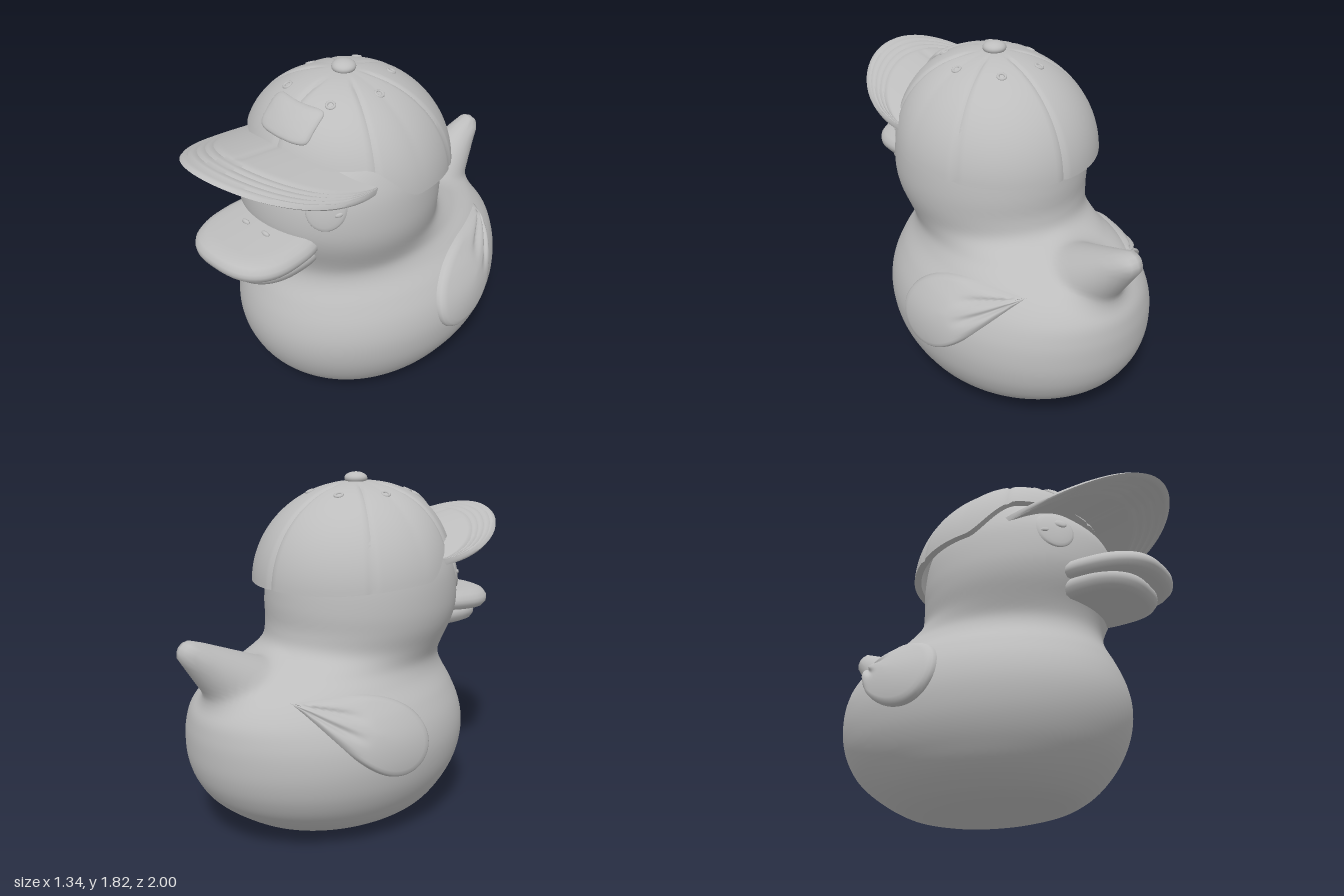
import * as THREE from 'three';
import { mergeVertices, toCreasedNormals } from 'three/addons/utils/BufferGeometryUtils.js';

const clamp = THREE.MathUtils.clamp, smooth = THREE.MathUtils.smoothstep;

// Body and head outline: height, half width, front z, back z
const RINGS = [
  [0, .28, .34, -.42], [.03, .37, .42, -.53], [.1, .48, .515, -.66], [.2, .56, .605, -.79],
  [.3, .61, .66, -.86], [.4, .633, .69, -.895], [.5, .635, .695, -.905], [.6, .612, .675, -.9],
  [.7, .56, .635, -.87], [.8, .485, .585, -.77], [.87, .45, .57, -.6], [.95, .457, .585, -.44],
  [1.05, .487, .625, -.4], [1.15, .5, .65, -.4], [1.3, .49, .64, -.385], [1.4, .46, .6, -.35],
  [1.5, .41, .5, -.28], [1.62, .27, .36, -.15], [1.7, .06, .16, .03],
];

// Smooth interpolation of the outline at a height
function ringAt(y) {
  y = clamp(y, 0, 1.7);
  let i = 0;
  while (i < RINGS.length - 2 && y > RINGS[i + 1][0]) i++;
  const p = RINGS[i], q = RINGS[i + 1];
  const o = RINGS[Math.max(i - 1, 0)], r = RINGS[Math.min(i + 2, RINGS.length - 1)];
  const d = q[0] - p[0], t = (y - p[0]) / d;
  return [1, 2, 3].map((k) => {
    const m0 = (q[k] - o[k]) / (q[0] - o[0]) * d, m1 = (r[k] - p[k]) / (r[0] - p[0]) * d;
    const c = q[k] - p[k];
    return p[k] + t * (m0 + t * (3 * c - 2 * m0 - m1 + t * (m0 + m1 - 2 * c)));
  });
}

// Implicit duck: ringed body blended with a tapered tail, negative inside
function duck(x, y, z) {
  const [w, f, b] = ringAt(y), hz = (f - b) / 2;
  const body = (Math.hypot(x / w, (z - (f + b) / 2) / hz) - 1) * Math.min(w, hz);
  const dy = .34, dz = -.43;
  const t = clamp(((y - .68) * dy + (z + .5) * dz) / (dy * dy + dz * dz), 0, 1);
  const tail = Math.hypot(x, y - .68 - dy * t, z + .5 - dz * t) - (.24 - .17 * t);
  const k = .08, h = Math.max(k - Math.abs(body - tail), 0) / k;
  return Math.max(Math.min(body, tail) - h * h * k / 4, -y, y - 1.7);
}

// Distance from a point along a direction to the duck's surface
function reach(o, d) {
  let lo = 0, hi = 1.6;
  for (let i = 0; i < 26; i++) {
    const m = (lo + hi) / 2;
    if (duck(o[0] + d[0] * m, o[1] + d[1] * m, o[2] + d[2] * m) < 0) lo = m; else hi = m;
  }
  return lo;
}
const skinZ = (x, y) => reach([x, y, 0], [0, 0, 1]);
const skinX = (y, z) => reach([0, y, z], [1, 0, 0]);

// Move every vertex by a rule and rebuild smooth normals
function reshape(geo, rule) {
  const p = geo.attributes.position;
  for (let i = 0; i < p.count; i++) p.setXYZ(i, ...rule(p.getX(i), p.getY(i), p.getZ(i)));
  geo.deleteAttribute('normal');
  geo.deleteAttribute('uv');
  geo = mergeVertices(geo, 1e-5);
  geo.computeVertexNormals();
  return geo;
}

// Disc of unit radius turned from a profile, then reshaped
const disc = (profile, rule) => reshape(
  new THREE.LatheGeometry(profile.map(([r, h]) => new THREE.Vector2(r, h)), 64), rule);
const SLAB = [[0, -1], [.5, -1], [.82, -1], [.93, -.8], [.99, -.35], [1, 0], [.99, .35],
  [.93, .8], [.82, 1], [.65, 1], [.45, 1], [.25, 1], [0, 1]];

// Turn a circle into a rounded rectangle
function squircle(u, v, n) {
  const r = Math.hypot(u, v) || 1;
  const g = (c) => Math.sign(c) * Math.pow(Math.abs(c / r), 2 / n) * r;
  return [g(u), g(v)];
}

// Sheet swept over u and v in 0..1
function sheet(nu, nv, fn) {
  const pos = [], idx = [];
  for (let i = 0; i <= nu; i++) for (let j = 0; j <= nv; j++) pos.push(...fn(i / nu, j / nv));
  for (let i = 0; i < nu; i++) for (let j = 0; j < nv; j++) {
    const a = i * (nv + 1) + j, b = a + nv + 1;
    idx.push(a, a + 1, b, b, a + 1, b + 1);
  }
  const geo = new THREE.BufferGeometry();
  geo.setAttribute('position', new THREE.Float32BufferAttribute(pos, 3));
  geo.setIndex(idx);
  return toCreasedNormals(geo, .7);
}

// Cap dome: point at an angle from the front and a relative height
function dome(phi, h, inset = 0) {
  const c = Math.cos(phi), p = 2 + .5 * Math.max(0, c);
  const s = Math.pow(Math.max(0, 1 - Math.pow(Math.max(h, 0), p)), 1 / p);
  const k = 1 - inset / .52;
  return [.53 * s * k * Math.sin(phi), 1.25 + .52 * h * (1 - (inset / .52) * h), .09 + s * k * c * (c > 0 ? .5 : .56)];
}
const rimHeight = (phi) => {
  const c = Math.cos(phi);
  return (1.265 + .04 * smooth(c, -1, .1) + .185 * smooth(c, .05, .6) - 1.25) / .52;
};

export function createModel() {
  const model = new THREE.Group();
  const grey = new THREE.MeshStandardMaterial({ color: 0xbdbdbd });
  grey.name = 'plain grey';
  const add = (name, geo) => {
    const mesh = new THREE.Mesh(geo, grey);
    mesh.name = name;
    model.add(mesh);
    return mesh;
  };
  // Add a left part and its mirror image
  const addPair = (name, geo) => {
    add('left' + name, geo);
    const other = geo.clone().scale(-1, 1, 1), ix = other.index.array;
    for (let i = 0; i < ix.length; i += 3) [ix[i], ix[i + 1]] = [ix[i + 1], ix[i]];
    other.computeVertexNormals();
    add('right' + name, other);
  };

  // Body, head and tail in one smooth skin
  add('body', reshape(new THREE.SphereGeometry(1, 160, 128), (x, y, z) => {
    const d = reach([0, .5, -.1], [x, y, z]);
    return [x * d, .5 + y * d, -.1 + z * d];
  }));

  // Bill
  add('upperBill', disc(SLAB, (u, h, v) => {
    const [x, z] = squircle(u, v, 2.5);
    return [.285 * x, 1.1 + .05 * h - .018 * z - .02 * x * x, .68 + .29 * z];
  }));
  add('lowerBill', disc(SLAB, (u, h, v) => {
    const [x, z] = squircle(u, v, 2.5);
    return [.25 * x, 1.0 + .05 * h + .015 * x * x, .63 + .255 * z];
  }));
  addPair('Nostril', reshape(new THREE.SphereGeometry(1, 16, 10),
    (x, y, z) => [.07 + .025 * x, 1.15 + .012 * y, .7 + .012 * z]));

  // Eyes with raised highlights, laid on the head
  const button = (cx, cy, rx, ry, tilt, lift) => disc(
    [[1, -.01], [1, lift * .4], [.94, lift * .75], [.8, lift], [.5, lift * 1.1], [0, lift * 1.15]],
    (u, h, v) => {
      const c = Math.cos(tilt), s = Math.sin(tilt);
      const x = cx + rx * u * c + ry * v * s, y = cy + rx * u * s - ry * v * c;
      return [x, y, skinZ(x, y) + h];
    });
  addPair('Eye', button(.3, 1.31, .073, .11, .17, .014));
  addPair('LargeHighlight', button(.285, 1.345, .024, .024, 0, .025));
  addPair('SmallHighlight', button(.358, 1.293, .011, .011, 0, .024));

  // Wings: teardrops on the flanks with feather grooves near the tip
  const wingProfile = [[1, -.03], [1, .005], [.97, .02], [.92, .03]];
  for (let i = 1; i <= 12; i++) wingProfile.push([.92 * (1 - i / 12), .03 + .01 * i / 12]);
  addPair('Wing', disc(wingProfile, (u, h, v) => {
    const w = .235 * v * Math.sqrt(Math.max(0, (1 - u) / 2));
    const y = .64 + .435 * .345 * u - .9 * w, z = -.29 - .9 * .345 * u - .435 * w;
    const q = v / Math.sqrt(Math.max(.05, 1 - u * u));
    const groove = .022 * smooth(u, .05, .5) * Math.pow(Math.abs(Math.sin(q * Math.PI * 1.5)), 4);
    return [skinX(y, z) + h - (h > 0 ? groove : 0), y, z];
  }));

  // Cap crown: six panels with sewn seams, folding inside at the rim
  add('capCrown', sheet(144, 44, (u, v) => {
    const phi = u * Math.PI * 2, end = Math.acos(clamp(rimHeight(phi), -1, 1));
    const out = v <= .75, a = out ? end * v / .75 : end * (1 - (v - .7727) * 1.2);
    const off = ((phi / (Math.PI / 3) + .5) % 1 - .5) * Math.PI / 3 * Math.sin(a);
    const seam = .009 * Math.exp(-((off / .018) ** 2)) * smooth(a, .1, .3);
    return dome(phi, Math.cos(a), out ? seam : .035);
  }));

  // Cap button and eyelets
  add('capButton', new THREE.SphereGeometry(.06, 32, 20).scale(1, .55, 1).translate(0, 1.782, .09));
  for (let i = 0; i < 6; i++) {
    const phi = Math.PI / 6 + i * Math.PI / 3, h = .9;
    const at = new THREE.Vector3(...dome(phi, h));
    const n = new THREE.Vector3(...dome(phi + .05, h)).sub(at)
      .cross(new THREE.Vector3(...dome(phi, h + .02)).sub(at)).normalize();
    const eyelet = add('capEyelet', new THREE.TorusGeometry(.019, .007, 10, 24));
    eyelet.position.copy(at);
    eyelet.quaternion.setFromUnitVectors(new THREE.Vector3(0, 0, 1), n);
  }

  // Blank patch on the cap front
  add('capPatch', disc(SLAB, (u, h, v) => {
    const [a, b] = squircle(u, v, 6);
    const x = .158 * a, y = 1.64 - .068 * b;
    const s = Math.pow(1 - Math.pow((y - 1.25) / .52, 2.5), .4);
    return [x, y + .008 * h, .09 + .5 * Math.sqrt(Math.max(0, s * s - (x / .53) ** 2)) + .016 * h];
  }));

  // Visor: curved brim with stitched rows near its edge
  add('capVisor', sheet(72, 60, (u, v) => {
    const k = u * 2 - 1, fold = Math.abs(v * 2 - 1), r = 1 - fold;
    const a = k * 1.08, t = k * 1.83;
    const x = THREE.MathUtils.lerp(.48 * Math.sin(a), .445 * Math.sin(t), r);
    const z = THREE.MathUtils.lerp(.09 + .42 * Math.cos(a), .45 + .55 * Math.cos(t), r);
    const side = v <= .5 ? 1 : -1;
    const half = .018 * Math.sqrt(Math.max(0, 1 - smooth(r, .88, 1) ** 2));
    const rows = r > .55 && r < .95 ? .004 * Math.cos((r - .55) * Math.PI * 2 / .1) - .004 : 0;
    const crease = .006 * Math.exp(-((x / .015) ** 2)) * (1 - smooth(r, .5, .6));
    return [x, 1.437 + .15 * z - .6 * x * x + side * (half + rows * (half / .018) - crease), z];
  }));

  return model;
}
